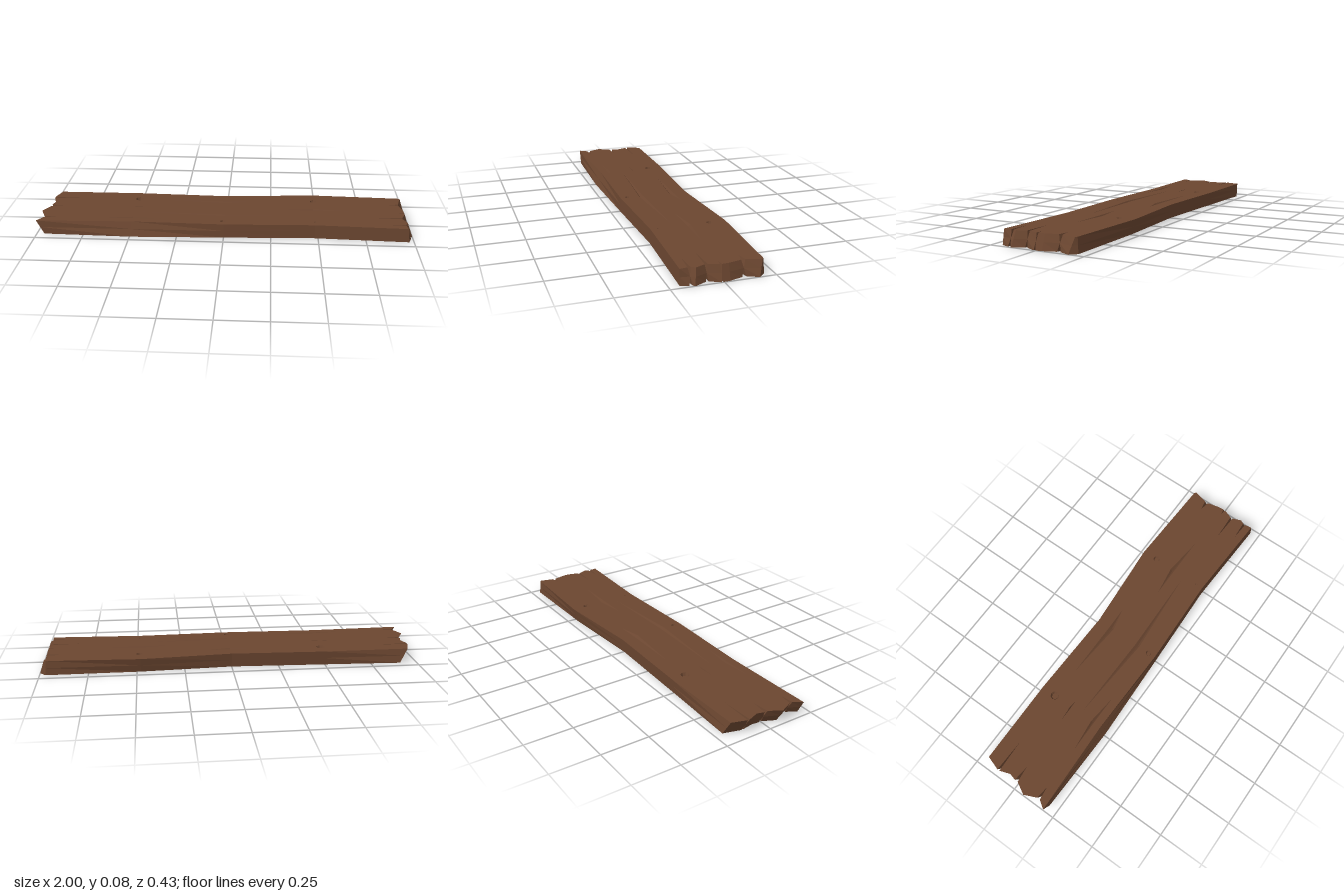
import * as THREE from 'three';

const H = 0.075;

// Outline entries: { t: top [x, z], m: middle, b: bottom }
const point = (x, z, bx = x, bz = z) => [{ t: [x, z], m: [(x + bx) / 2, (z + bz) / 2], b: [bx, bz] }];

// Split in the end grain: open at the top and bottom, closed halfway down.
// dir is the direction of travel along z.
function split(x, bx, z, tip, w, dir) {
  const m = [(x + bx) / 2, z];
  const btip = bx + (tip - x) * 0.8;
  return [
    { t: [x, z - w * dir], m, b: [bx, z - w * dir] },
    { t: [tip, z], m, b: [btip, z] },
    { t: [x, z + w * dir], m, b: [bx, z + w * dir] },
  ];
}

const outline = [
  // back edge
  ...point(-0.95, -0.195, -0.91, -0.207),
  ...point(-0.49, -0.197, -0.49, -0.19),
  ...point(0, -0.18, 0, -0.172),
  ...point(0.48, -0.217, 0.48, -0.2),
  ...point(0.965, -0.197, 0.97, -0.203),
  // right-hand ragged end
  ...point(0.975, -0.19, 1, -0.17),
  ...split(0.955, 0.975, -0.105, 0.9, 0.01, 1),
  ...point(0.97, -0.03, 0.995, -0.03),
  ...split(0.972, 0.998, 0.008, 0.94, 0.005, 1),
  ...split(0.953, 0.972, 0.07, 0.81, 0.007, 1),
  ...point(0.972, 0.125, 1, 0.135),
  ...split(0.96, 0.99, 0.152, 0.86, 0.007, 1),
  ...point(0.965, 0.197, 0.975, 0.2),
  // front edge
  ...point(0.48, 0.177, 0.48, 0.179),
  ...point(0, 0.193, 0, 0.197),
  ...point(-0.49, 0.182, -0.49, 0.213),
  ...point(-1, 0.197, -0.96, 0.2),
  // left-hand ragged end
  ...split(-0.97, -0.93, 0.145, -0.9, 0.008, -1),
  ...point(-1, 0.07, -0.96, 0.07),
  ...split(-0.965, -0.93, -0.003, -0.88, 0.009, -1),
  ...point(-0.955, -0.05, -0.925, -0.05),
  ...split(-0.975, -0.935, -0.112, -0.8, 0.006, -1),
];

// Grain cracks: [start x, middle x, end x, end z, middle back z, middle front z]
const cracks = [
  [-0.32, 0, 0.12, -0.11, -0.108, -0.083],
  [0.32, 0.48, 0.69, -0.009, -0.032, -0.01],
  [-0.47, 0, 0.45, 0.055, 0.066, 0.09],
  [-0.66, -0.49, -0.33, 0.141, 0.123, 0.14],
  [-0.57, -0.49, -0.45, -0.008, -0.014, -0.007],
];

// Nail holes: [x, z, radius]
const nails = [
  [-0.49, -0.117, 0.023],
  [0.485, -0.133, 0.018],
  [-0.005, 0.152, 0.015],
  [0.485, 0.137, 0.006],
];

function ring([x, z, r], s) {
  return Array.from({ length: 8 }, (_, i) => {
    const a = (i / 8) * Math.PI * 2;
    return [x + Math.cos(a) * r * s, z + Math.sin(a) * r * s];
  });
}

export function createModel() {
  const pos = [];

  function tri(a, b, c) {
    const [A, B, C] = [a, b, c].map((p) => new THREE.Vector3(...p));
    if (B.sub(A).cross(C.sub(A)).length() > 1e-9) pos.push(...a, ...b, ...c);
  }

  // Triangle turned to face up (sign 1) or down (sign -1)
  function faceTri(a, b, c, sign) {
    const ny = (b[2] - a[2]) * (c[0] - a[0]) - (b[0] - a[0]) * (c[2] - a[2]);
    if (ny * sign > 0) tri(a, b, c);
    else tri(a, c, b);
  }

  // Broad face pierced by dents for the cracks and nail holes
  function broadFace(key, y, sign) {
    const at = (p, depth = 0) => [p[0], y - sign * depth, p[1]];
    const contour = outline.map((o) => new THREE.Vector2(...o[key]));
    const crackLoops = cracks.map(([x0, xm, x1, z, zb, zf]) => [[x0, z], [xm, zb], [x1, z], [xm, zf]]);
    const nailLoops = nails.map((n) => ring(n, 1));
    const holes = [...crackLoops, ...nailLoops].map((l) => l.map((p) => new THREE.Vector2(...p)));
    const all = [contour, ...holes].flat().map((v) => [v.x, v.y]);
    for (const [a, b, c] of THREE.ShapeUtils.triangulateShape(contour, holes)) {
      faceTri(at(all[a]), at(all[b]), at(all[c]), sign);
    }

    // cracks slope down to one deepest point
    crackLoops.forEach((loop) => {
      const low = at([loop[1][0], (loop[1][1] + loop[3][1]) / 2], 0.014);
      loop.forEach((p, i) => faceTri(at(p), at(loop[(i + 1) % 4]), low, sign));
    });

    // nail holes: sloped wall and flat floor
    nails.forEach((n, k) => {
      const outer = nailLoops[k];
      const inner = ring(n, 0.7);
      const depth = n[2] * 0.7;
      for (let i = 0; i < 8; i++) {
        const j = (i + 1) % 8;
        faceTri(at(outer[i]), at(outer[j]), at(inner[i], depth), sign);
        faceTri(at(outer[j]), at(inner[j], depth), at(inner[i], depth), sign);
        faceTri(at(inner[i], depth), at(inner[j], depth), at(n, depth), sign);
      }
    });
  }

  broadFace('t', H, 1);
  broadFace('b', 0, -1);

  // Edges in two bands: top to middle, middle to bottom
  const bands = [['t', H, 'm', H / 2], ['m', H / 2, 'b', 0]];
  outline.forEach((o, i) => {
    const n = outline[(i + 1) % outline.length];
    for (const [u, yu, l, yl] of bands) {
      const at = (q, k, y) => [q[k][0], y, q[k][1]];
      tri(at(o, u, yu), at(n, u, yu), at(o, l, yl));
      tri(at(n, u, yu), at(n, l, yl), at(o, l, yl));
    }
  });

  const geometry = new THREE.BufferGeometry();
  geometry.setAttribute('position', new THREE.Float32BufferAttribute(pos, 3));
  geometry.computeVertexNormals();

  const wood = new THREE.MeshStandardMaterial({ color: 0x6b4630, flatShading: true });
  const plank = new THREE.Mesh(geometry, wood);
  plank.name = 'plank';

  const group = new THREE.Group();
  group.name = 'woodenPlank';
  group.add(plank);
  return group;
}
